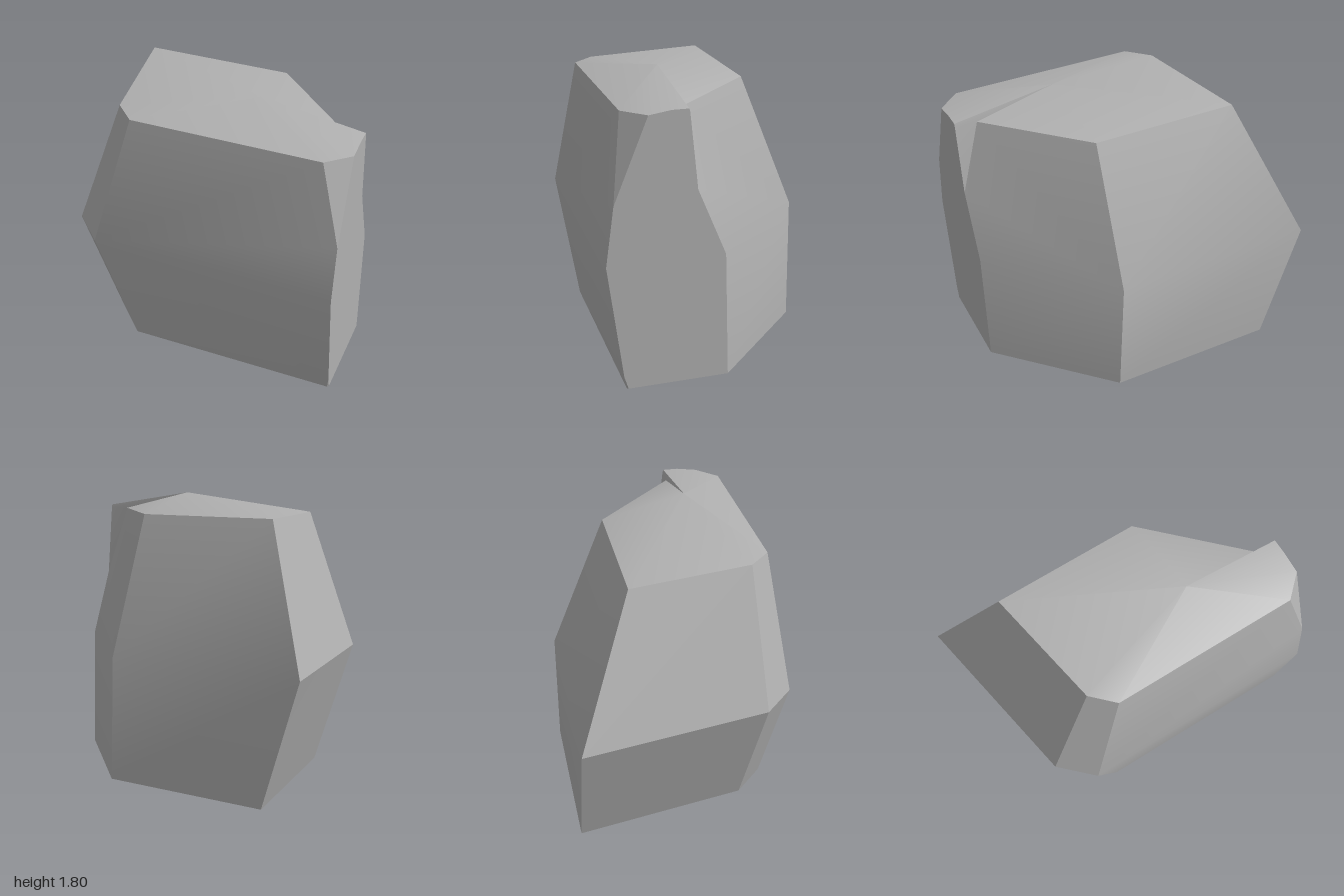
import * as THREE from 'three';
import { toCreasedNormals } from 'three/addons/utils/BufferGeometryUtils.js';

// Solid from convex polygons, each split into a triangle fan
function polygons(faces) {
  const pos = [];
  for (const f of faces)
    for (let i = 1; i < f.length - 1; i++) pos.push(...f[0], ...f[i], ...f[i + 1]);
  const geo = new THREE.BufferGeometry();
  geo.setAttribute('position', new THREE.Float32BufferAttribute(pos, 3));
  return toCreasedNormals(geo, 0.5);
}

// Ring of corners at one height, counter-clockwise from above, starting back left
const ring = (y, pts) => pts.map(([x, z]) => [x, y, z]);

export function createModel() {
  const stone = new THREE.MeshStandardMaterial({ color: 0xb0b0b0 });
  stone.name = 'grey stone';

  // Corners: back left, left front, front left, front right, right back, back right
  const base = ring(0, [[-0.755, -0.7], [-0.56, 0.4], [-0.37, 0.59], [0.99, 0.59], [1, -0.045], [0.345, -0.7]]);
  const waist = ring(0.8, [[-1, -0.7], [-0.785, 0.5], [-0.58, 0.7], [1, 0.7], [1, -0.02], [0.32, -0.7]]);
  const rim = ring(1.68, [[-0.62, -0.34], [-0.48, 0.44], [-0.345, 0.575], [0.86, 0.575], [0.86, 0.2], [0.32, -0.34]]);
  const apex = [0.35, 1.8, 0.21];

  // Extra corners along the flat right side
  const baseCut = [1, 0, 0.58], lowCut = [1, 0.08, 0.605];
  const highCut = [1, 1.17, 0.65], rimCut = [1, 1.68, 0.445];
  const crestFront = [1, 1.7, 0.31], crestBack = [1, 1.7, 0.21];
  const notchTop = [1, 1.68, 0.205], notchLow = [1, 1.22, 0.155];

  const faces = [];
  // Back, left and front-left sides
  for (const [i, j] of [[5, 0], [0, 1], [1, 2]])
    faces.push([base[i], base[j], waist[j], waist[i]], [waist[i], waist[j], rim[j], rim[i]]);
  // Front
  faces.push([waist[2], base[2], base[3], lowCut, waist[3]]);
  faces.push([waist[2], waist[3], highCut, rim[3], rim[2]]);
  // Chipped front right corners
  faces.push([highCut, rimCut, rim[3]], [base[3], baseCut, lowCut]);
  // Slanted back right side and its notch
  faces.push([base[4], base[5], waist[5], waist[4]]);
  faces.push([waist[5], rim[5], rim[4], notchLow, waist[4]]);
  faces.push([rim[4], notchTop, notchLow], [apex, crestBack, notchTop, rim[4]]);
  // Flat right side
  faces.push([waist[3], lowCut, baseCut, base[4], waist[4], notchLow, notchTop,
    crestBack, crestFront, rimCut, highCut]);
  // Low peaked top
  faces.push([apex, rim[4], rim[5], rim[0], rim[1], rim[2], rim[3], rimCut, crestFront, crestBack]);
  // Underside
  faces.push([...base.slice(0, 4), baseCut, ...base.slice(4)].reverse());

  const rock = new THREE.Mesh(polygons(faces), stone);
  rock.name = 'rock';
  const group = new THREE.Group();
  group.name = 'boulder';
  group.add(rock);
  return group;
}
